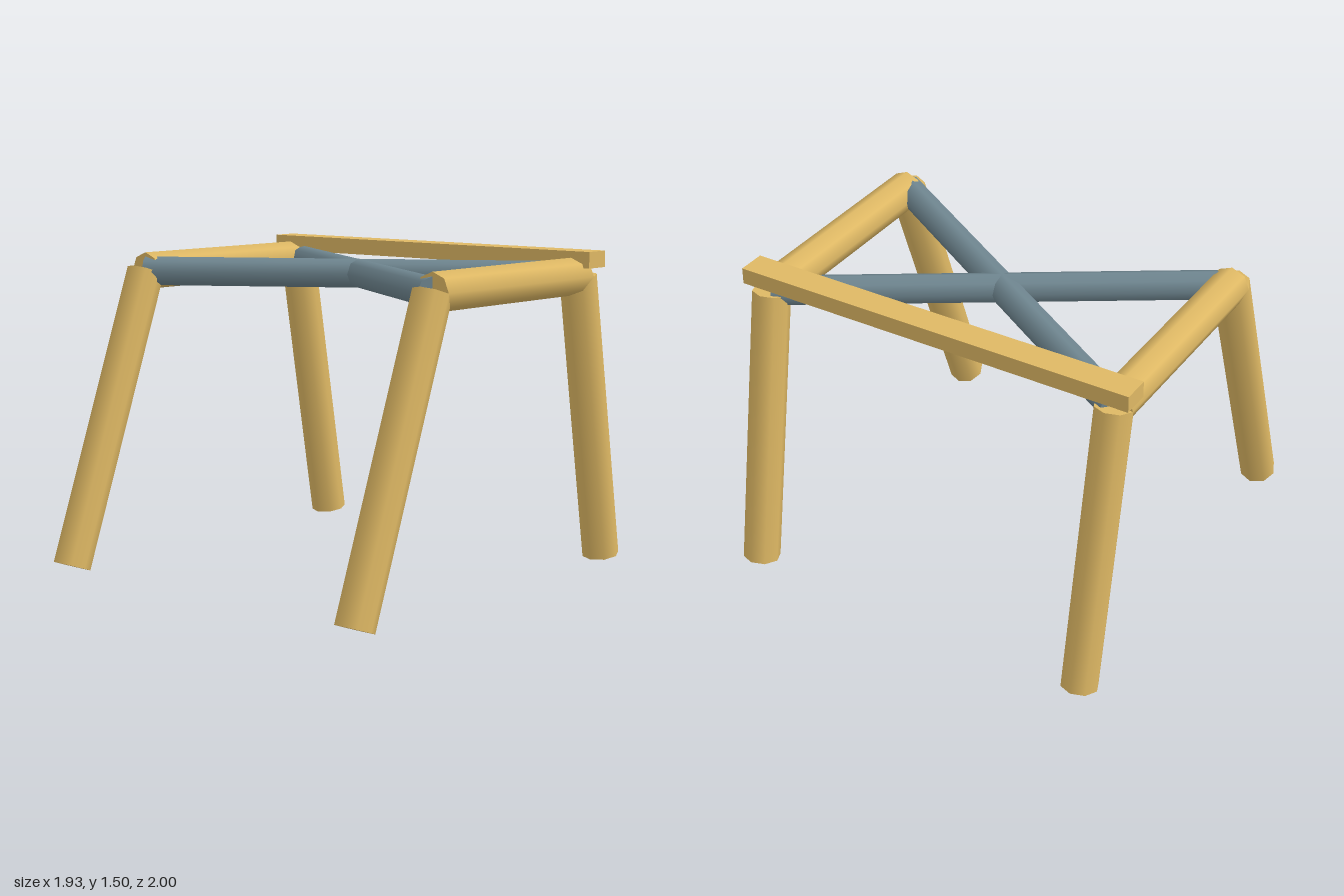
import * as THREE from 'three';

export function createModel() {
  const model = new THREE.Group();
  model.name = 'trestleFrame';
  const wood = new THREE.MeshStandardMaterial({ color: 0xdeb864 });
  const steel = new THREE.MeshStandardMaterial({ color: 0x6f8690 });

  // Eight-sided pole running from one point to another
  function pole(name, from, to, radius, material) {
    const a = new THREE.Vector3(...from);
    const b = new THREE.Vector3(...to);
    const geometry = new THREE.CylinderGeometry(radius, radius, a.distanceTo(b), 8);
    geometry.rotateX(Math.PI / 2);
    const mesh = new THREE.Mesh(geometry, material);
    mesh.name = name;
    mesh.position.addVectors(a, b).multiplyScalar(0.5);
    mesh.lookAt(b);
    model.add(mesh);
  }

  const sideX = 0.866, jointY = 1.386, frontZ = 0.416, backZ = -0.677;
  const legRadius = 0.0875, braceRadius = 0.068;

  for (const [side, s] of [['left', 1], ['right', -1]]) {
    const x = s * sideX;
    // Splayed legs and the rail joining their tops
    pole(side + 'FrontLeg', [x, 0.033, 0.918], [x, jointY, frontZ], legRadius, wood);
    pole(side + 'BackLeg', [x, 0.033, -0.914], [x, jointY, backZ], legRadius, wood);
    pole(side + 'Rail', [x, jointY, backZ], [x, jointY, frontZ], legRadius, wood);
    // Diagonal brace crossing to the opposite back corner
    pole(side + 'Brace', [x, jointY, frontZ], [-x, jointY, backZ], braceRadius, steel);
  }

  // Flat bar across the back
  const bar = new THREE.Mesh(new THREE.BoxGeometry(1.932, 0.076, 0.13), wood);
  bar.name = 'backBar';
  bar.position.set(0, 1.466, -0.681);
  model.add(bar);

  return model;
}
